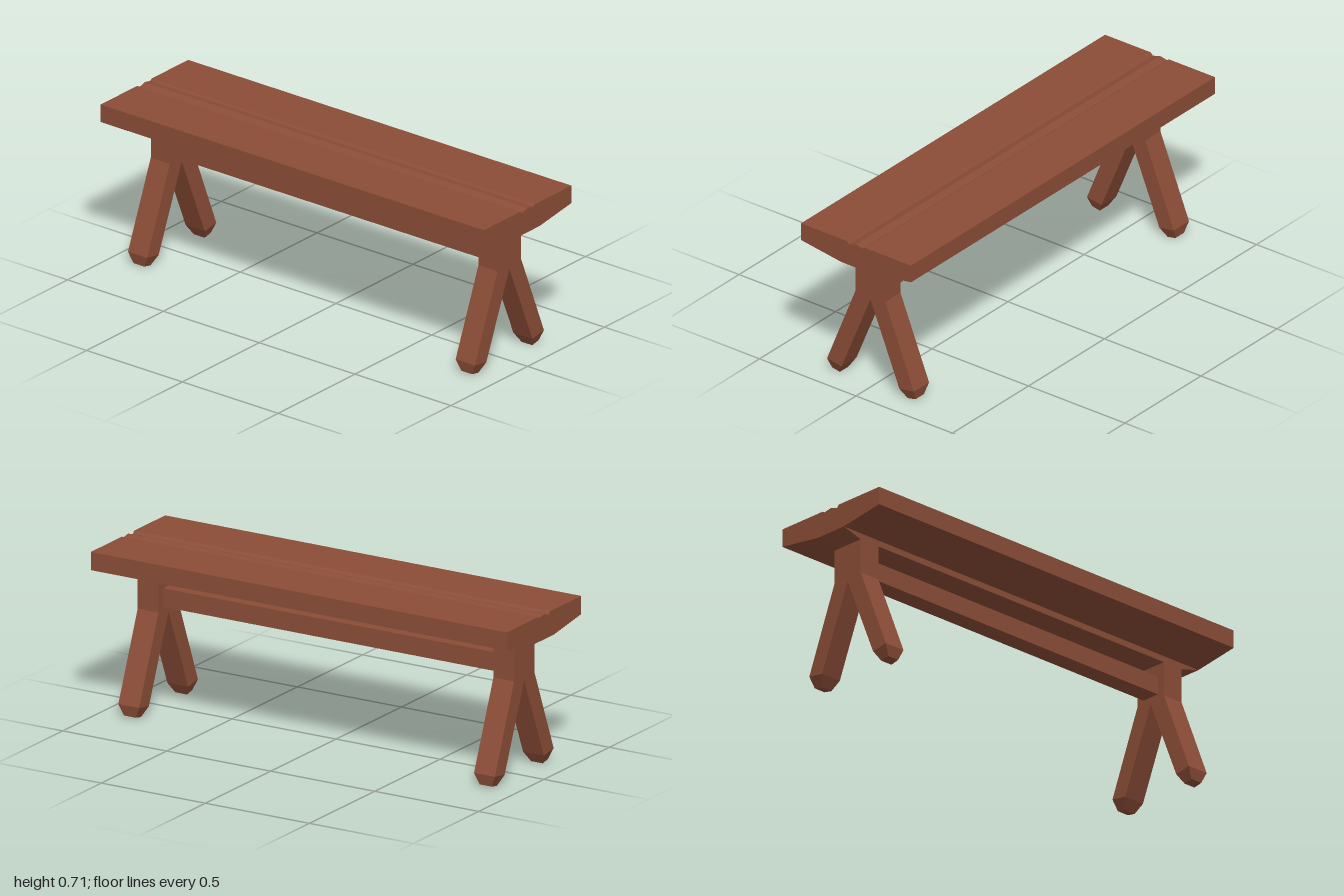
import * as THREE from 'three';

const wood = new THREE.MeshStandardMaterial({ color: 0x8b4d37, flatShading: true });

function addMesh(parent, name, geometry) {
  const mesh = new THREE.Mesh(geometry, wood);
  mesh.name = name;
  parent.add(mesh);
  return mesh;
}

// Outline in x/y extruded along z, centred on z = 0
function prism(points, depth) {
  const shape = new THREE.Shape(points.map(([x, y]) => new THREE.Vector2(x, y)));
  return new THREE.ExtrudeGeometry(shape, { depth, bevelEnabled: false }).translate(0, 0, -depth / 2);
}

// Tapered foot: a box whose corners move to the cut leg end and a smaller sole
function footGeometry(side) {
  const geo = new THREE.BoxGeometry(1, 1, 1);
  const p = geo.attributes.position;
  const corners = {
    top: { outer: [0.225, 0.057], inner: [0.15, 0.045], z: 0.05 },
    sole: { outer: [0.216, 0.009], inner: [0.176, 0.001], z: 0.028 },
  };
  for (let i = 0; i < p.count; i++) {
    const ring = p.getY(i) > 0 ? corners.top : corners.sole;
    const [x, y] = p.getX(i) * side > 0 ? ring.outer : ring.inner;
    p.setXYZ(i, x * side, y, Math.sign(p.getZ(i)) * ring.z);
  }
  geo.computeVertexNormals();
  return geo;
}

export function createModel() {
  const bench = new THREE.Group();
  bench.name = 'bench';

  // Seat plank with tapered underside and a shallow double groove on top
  addMesh(bench, 'seat', prism([
    [-0.285, 0.708], [-0.285, 0.63], [-0.077, 0.6], [0.077, 0.6], [0.285, 0.63], [0.285, 0.708],
    [0.047, 0.708], [0.037, 0.701], [0, 0.708], [-0.037, 0.696], [-0.047, 0.708],
  ], 2));

  // Keel under the seat, sloped at both ends
  const keel = prism([[-1, 0.6], [-0.905, 0.573], [0.905, 0.573], [1, 0.6]], 0.154);
  addMesh(bench, 'keel', keel.rotateY(Math.PI / 2));

  // Stretcher between the two leg frames
  addMesh(bench, 'stretcher', new THREE.BoxGeometry(0.084, 0.08, 1.61).translate(0, 0.48, 0));

  // Forked leg frames with tapered feet
  for (const end of [1, -1]) {
    const frame = new THREE.Group();
    frame.name = end > 0 ? 'frontLegFrame' : 'backLegFrame';
    frame.position.z = end * 0.855;
    bench.add(frame);
    addMesh(frame, 'forkedLeg', prism([
      [-0.077, 0.573], [-0.077, 0.425], [-0.225, 0.057], [-0.15, 0.045], [0, 0.41],
      [0.15, 0.045], [0.225, 0.057], [0.077, 0.425], [0.077, 0.573],
    ], 0.1));
    for (const side of [1, -1]) addMesh(frame, side > 0 ? 'leftFoot' : 'rightFoot', footGeometry(side));
  }
  return bench;
}
